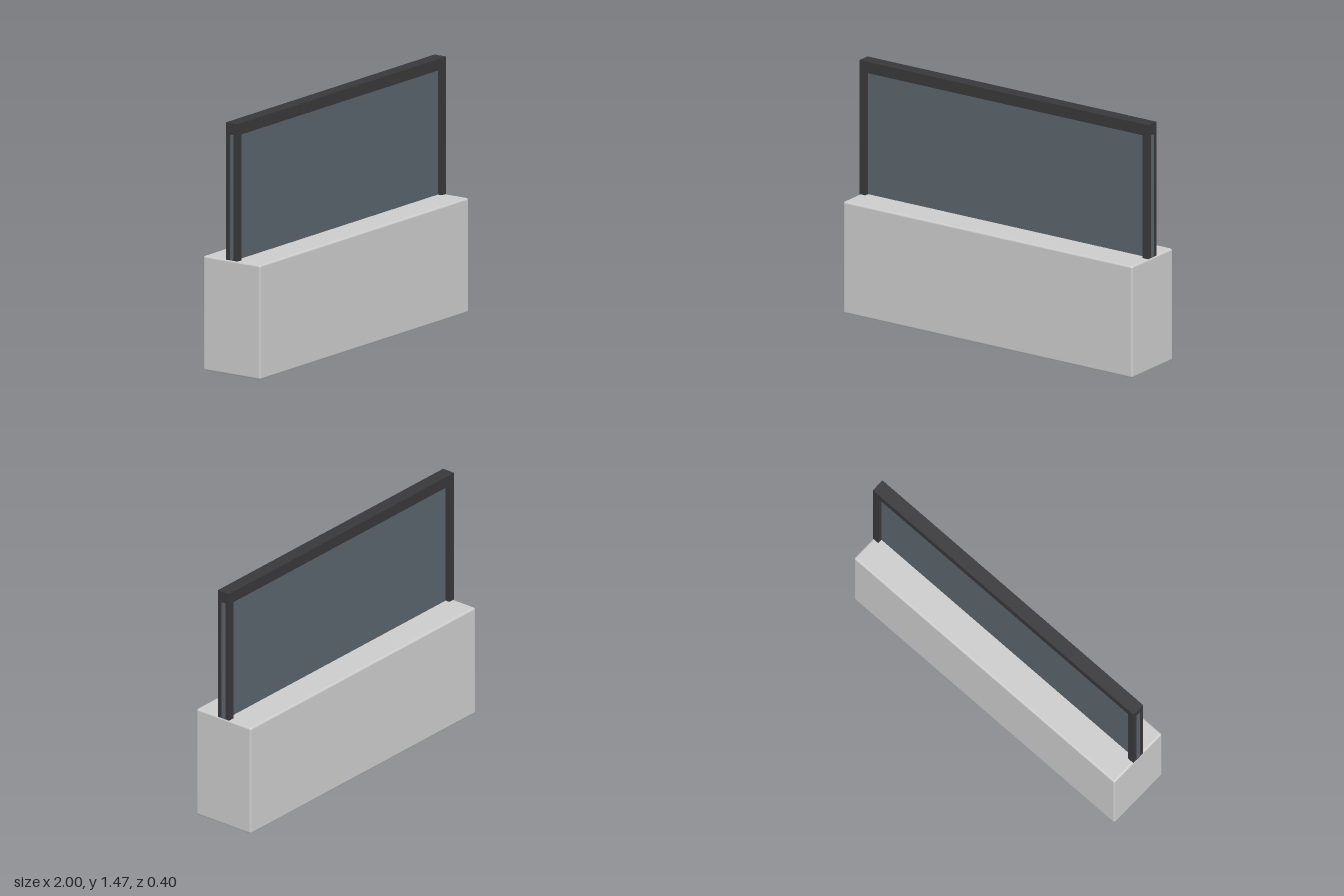
import * as THREE from 'three';
import { RoundedBoxGeometry } from 'three/addons/geometries/RoundedBoxGeometry.js';

const BASE_TOP = 0.667, GLASS_TOP = 1.4, TOP = 1.467;
const POST_W = 0.04, FRAME_D = 0.08;

export function createModel() {
  const model = new THREE.Group();
  model.name = 'glassTopBarrier';

  const stone = new THREE.MeshStandardMaterial({ color: 0xcccccc });
  const metal = new THREE.MeshStandardMaterial({ color: 0x38383a });
  const glass = new THREE.MeshStandardMaterial({ color: 0x5a646c });

  const add = (name, geometry, material, x, y) => {
    const mesh = new THREE.Mesh(geometry, material);
    mesh.name = name;
    mesh.position.set(x, y, 0);
    model.add(mesh);
  };

  // Solid low wall with softly rounded edges
  add('baseWall', new RoundedBoxGeometry(2, BASE_TOP, 0.4, 3, 0.012), stone, 0, BASE_TOP / 2);

  // Pane runs through the posts, so its edge shows at both ends
  const paneH = GLASS_TOP - BASE_TOP;
  const paneY = BASE_TOP + paneH / 2;
  add('glassPane', new THREE.BoxGeometry(2, paneH, 0.026), glass, 0, paneY);

  // End posts, a hair short of the pane edge
  for (const [name, side] of [['leftPost', 1], ['rightPost', -1]]) {
    add(name, new THREE.BoxGeometry(POST_W, paneH, FRAME_D), metal, side * (0.999 - POST_W / 2), paneY);
  }

  // Rail capping the pane and posts
  add('topRail', new THREE.BoxGeometry(2, TOP - GLASS_TOP, FRAME_D), metal, 0, (TOP + GLASS_TOP) / 2);

  return model;
}
